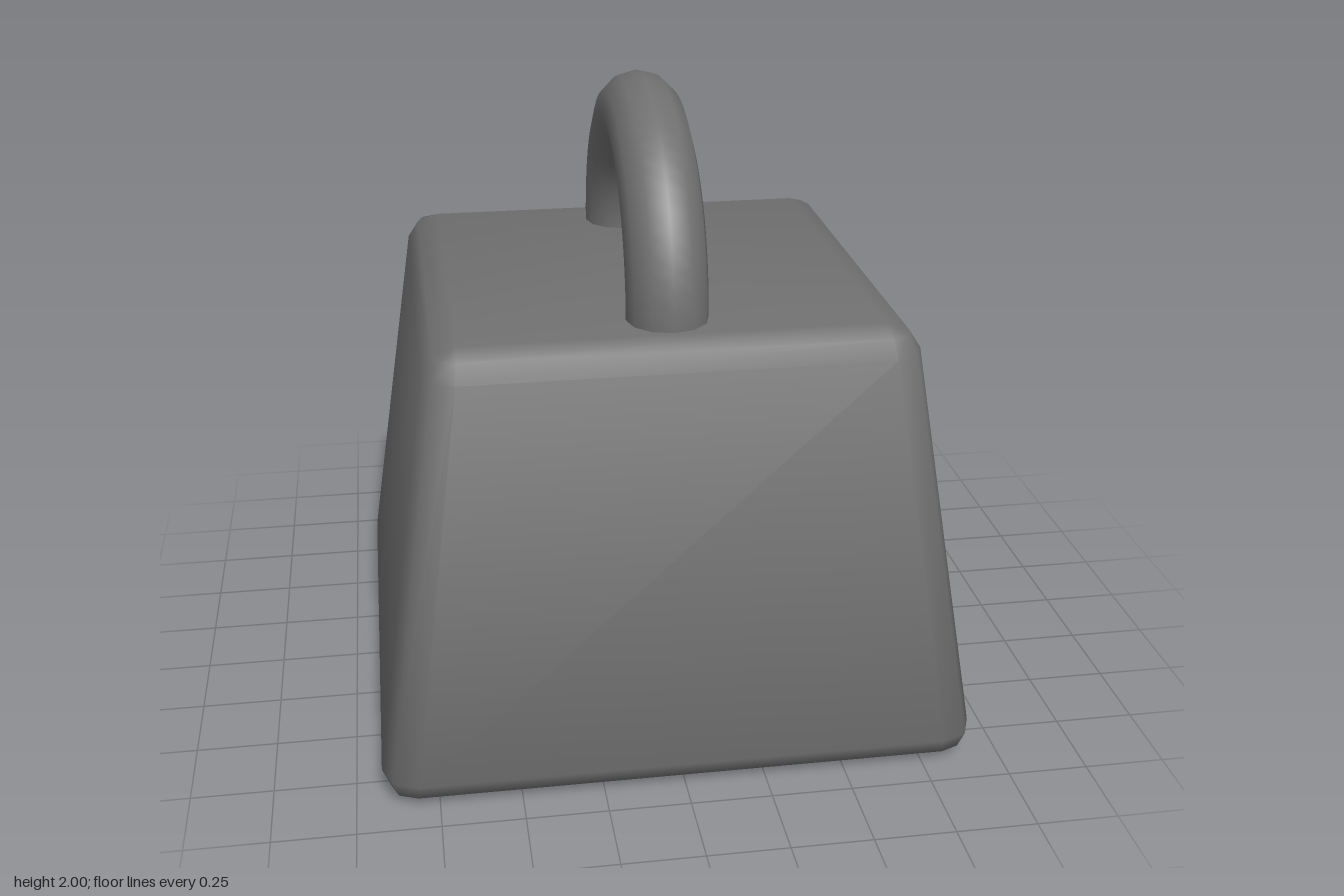
import * as THREE from 'three';
import { mergeVertices } from 'three/addons/utils/BufferGeometryUtils.js';

// Smooth normals weighted by corner angle, so the bevels blend softly into the faces.
function softenNormals(geometry) {
  const position = geometry.attributes.position, index = geometry.index.array;
  const normals = Array.from({ length: position.count }, () => new THREE.Vector3());
  for (let f = 0; f < index.length; f += 3) {
    const ids = [0, 1, 2].map((k) => index[f + k]);
    const p = ids.map((id) => new THREE.Vector3().fromBufferAttribute(position, id));
    const faceNormal = new THREE.Triangle(...p).getNormal(new THREE.Vector3());
    if (faceNormal.lengthSq() === 0) continue;
    ids.forEach((id, k) => {
      const u = p[(k + 1) % 3].clone().sub(p[k]), v = p[(k + 2) % 3].clone().sub(p[k]);
      normals[id].addScaledVector(faceNormal, u.angleTo(v));
    });
  }
  const values = normals.flatMap((n) => n.normalize().toArray());
  geometry.setAttribute('normal', new THREE.Float32BufferAttribute(values, 3));
  return geometry;
}

// Tapered block with bevelled edges, lofted from square rings.
// Each ring is [flat half width, outer half width, height].
function bevelledBlock(rings) {
  const positions = [], index = [], n = 12;
  for (const [s, w, y] of rings) {
    const k = s + (w - s) * 0.71;
    for (let q = 0; q < 4; q++) {
      for (let [x, z] of [[w, s], [k, k], [s, w]]) {
        for (let t = 0; t < q; t++) [x, z] = [-z, x];
        positions.push(x, y, z);
      }
    }
  }
  for (let i = 0; i < rings.length - 1; i++) {
    for (let j = 0; j < n; j++) {
      const a = i * n + j, b = i * n + (j + 1) % n;
      index.push(a, a + n, b, b, a + n, b + n);
    }
  }
  // Flat top and bottom
  const last = (rings.length - 1) * n, centre = rings.length * n;
  positions.push(0, rings[0][2], 0, 0, rings[rings.length - 1][2], 0);
  for (let j = 0; j < n; j++) {
    const next = (j + 1) % n;
    index.push(centre, j, next, centre + 1, last + next, last + j);
  }
  const geometry = new THREE.BufferGeometry();
  geometry.setAttribute('position', new THREE.Float32BufferAttribute(positions, 3));
  geometry.setIndex(index);
  return softenNormals(mergeVertices(geometry));
}

export function createModel() {
  const group = new THREE.Group();
  group.name = 'weight';
  const material = new THREE.MeshStandardMaterial({ color: 0x707070 });

  // Heavy tapered body
  const body = new THREE.Mesh(bevelledBlock([
    [0.815, 0.815, 0],
    [0.815, 0.895, 0.03],
    [0.81, 0.92, 0.085],
    [0.645, 0.74, 1.3],
    [0.64, 0.705, 1.355],
    [0.635, 0.635, 1.38],
  ]), material);
  body.name = 'body';
  group.add(body);

  // Half-ring handle running front to back
  const handle = new THREE.Mesh(new THREE.TorusGeometry(0.5, 0.125, 12, 32, Math.PI), material);
  handle.name = 'handle';
  handle.rotation.y = Math.PI / 2;
  handle.position.y = 1.375;
  group.add(handle);

  return group;
}
